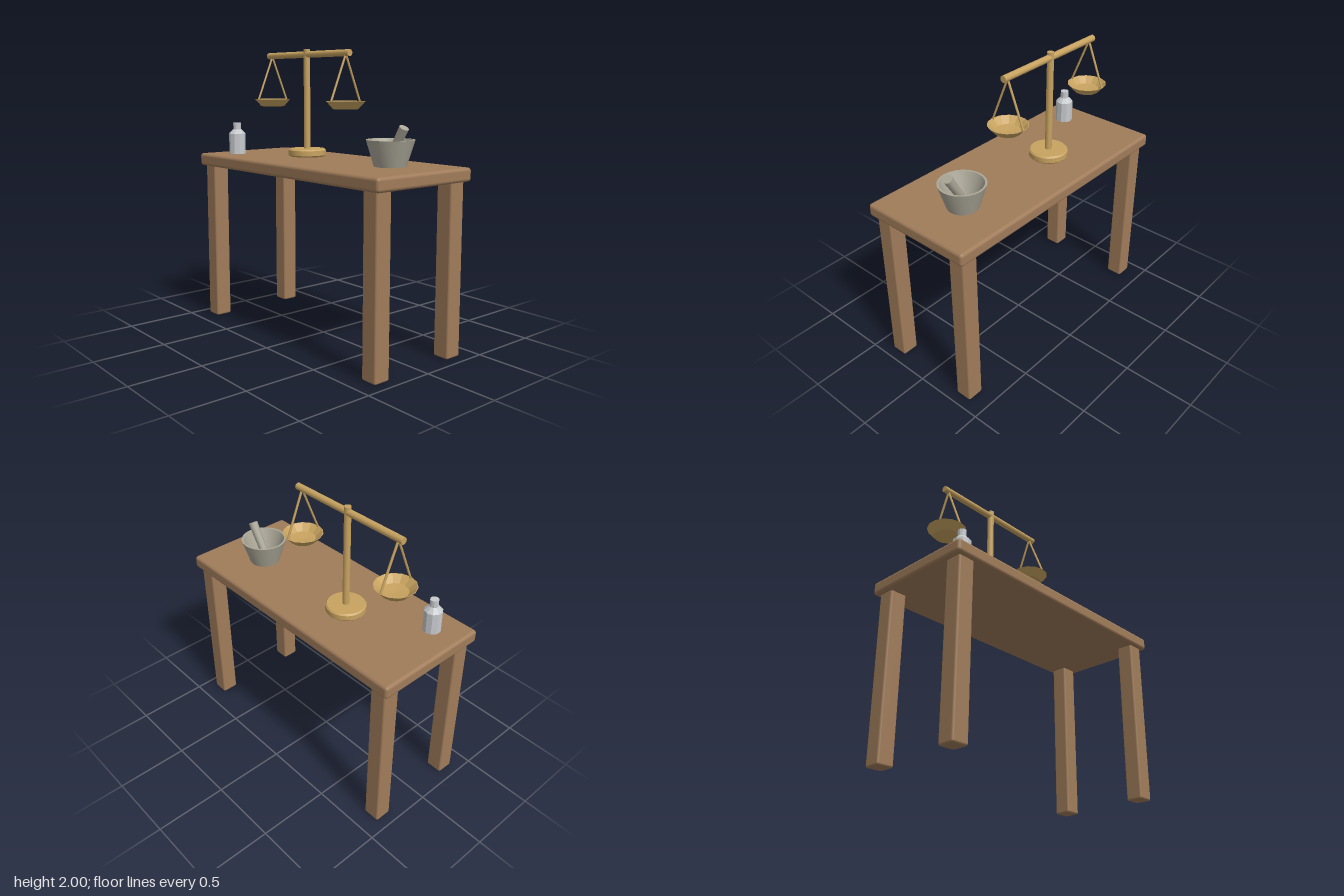
import * as THREE from 'three';
import { RoundedBoxGeometry } from 'three/addons/geometries/RoundedBoxGeometry.js';
import { toCreasedNormals } from 'three/addons/utils/BufferGeometryUtils.js';

const mat = (name, color) => Object.assign(new THREE.MeshStandardMaterial({ color }), { name });

export function createModel() {
  const model = new THREE.Group();
  const wood = mat('wood', 0xa07c5a);
  const brass = mat('brass', 0xc8a360);
  const stone = mat('stone', 0xaaa697);
  const glass = mat('glass', 0xc6c9cc);

  function add(name, geometry, material, x = 0, y = 0, z = 0, parent = model) {
    const mesh = new THREE.Mesh(geometry, material);
    mesh.name = name;
    mesh.position.set(x, y, z);
    parent.add(mesh);
    return mesh;
  }
  // turned part from [radius, height] pairs, listed up the outside and down the inside
  const turned = (profile, sides, crease = 0.1) => toCreasedNormals(
    new THREE.LatheGeometry(profile.map(([r, h]) => new THREE.Vector2(r, h)), sides), crease);
  // round bar between two points
  function bar(name, from, to, r0, r1, sides, material, parent) {
    const a = new THREE.Vector3(...from), b = new THREE.Vector3(...to);
    const dir = b.clone().sub(a);
    const mid = a.clone().add(b).multiplyScalar(0.5);
    const mesh = add(name, new THREE.CylinderGeometry(r1, r0, dir.length(), sides), material, mid.x, mid.y, mid.z, parent);
    mesh.quaternion.setFromUnitVectors(new THREE.Vector3(0, 1, 0), dir.normalize());
    return mesh;
  }

  // table
  add('tableTop', new RoundedBoxGeometry(1.93, 0.09, 0.82, 3, 0.022), wood, 0, 1.195, 0);
  for (const sx of [-1, 1]) for (const sz of [-1, 1]) {
    add('leg', new RoundedBoxGeometry(0.12, 1.16, 0.12, 2, 0.014), wood, sx * 0.868, 0.58, sz * 0.32);
  }

  // balance scale
  const scale = new THREE.Group();
  scale.name = 'balanceScale';
  scale.position.set(-0.25, 0, -0.055);
  model.add(scale);
  add('scaleBase', turned([[0, 0], [0.125, 0], [0.135, 0.01], [0.135, 0.045], [0.125, 0.055], [0, 0.055]], 20, 0.6),
    brass, 0, 1.243, 0, scale);
  bar('post', [0, 1.28, 0], [0, 2, 0], 0.024, 0.023, 12, brass, scale);
  bar('beam', [-0.455, 1.962, 0], [0.455, 1.962, 0], 0.023, 0.023, 12, brass, scale);
  const pan = turned([[0, 0], [0.087, 0], [0.135, 0.053], [0.13, 0.053], [0.085, 0.012], [0, 0.004]], 14);
  for (const side of [-1, 1]) {
    const x = side * 0.415;
    add('pan', pan, brass, x, 1.59, 0, scale);
    for (const sz of [-1, 1]) {
      bar('hanger', [x, 1.64, sz * 0.129], [x, 1.955, 0], 0.008, 0.008, 6, brass, scale);
    }
  }

  // mortar and pestle
  add('mortar', turned([[0, 0], [0.105, 0], [0.157, 0.17], [0.142, 0.17], [0.085, 0.03], [0, 0.03]], 24, 0.4),
    stone, 0.592, 1.24, -0.057);
  bar('pestle', [0.58, 1.275, -0.057], [0.709, 1.49, -0.057], 0.027, 0.032, 12, stone, model);

  // bottle
  add('bottle', turned([[0, 0], [0.061, 0], [0.061, 0.15], [0.029, 0.182], [0.029, 0.23], [0, 0.23]], 10),
    glass, -0.76, 1.24, 0.207);
  return model;
}
